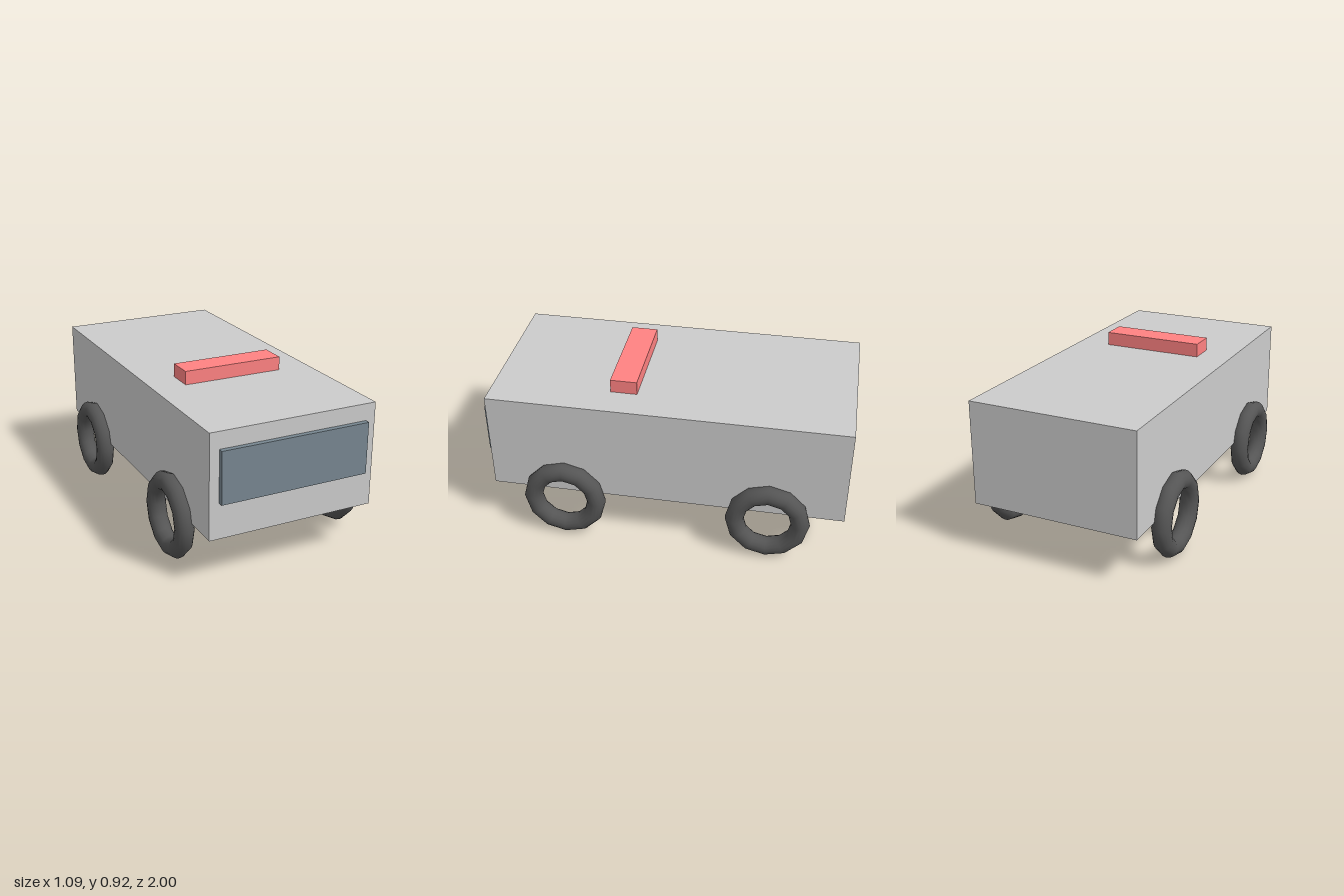
import * as THREE from 'three';

export function createModel() {
  const group = new THREE.Group();
  const paint = (color) => new THREE.MeshStandardMaterial({ color });

  // Box given by its extents along each axis
  function box(name, color, [x0, x1], [y0, y1], [z0, z1]) {
    const mesh = new THREE.Mesh(new THREE.BoxGeometry(x1 - x0, y1 - y0, z1 - z0), paint(color));
    mesh.position.set((x0 + x1) / 2, (y0 + y1) / 2, (z0 + z1) / 2);
    mesh.name = name;
    group.add(mesh);
  }

  // Van body, windscreen panel and roof light bar
  box('body', 0xcccccc, [-0.468, 0.468], [0.272, 0.842], [-1, 0.972]);
  box('windscreen', 0x778690, [-0.415, 0.415], [0.467, 0.75], [0.944, 1]);
  box('lightBar', 0xff8282, [-0.285, 0.285], [0.842, 0.917], [0.172, 0.319]);

  // Four ring wheels, twelve-sided around the rim with a round tyre section
  const tyre = new THREE.TorusGeometry(0.182, 0.052, 16, 12).rotateY(Math.PI / 2);
  const rubber = paint(0x555555);
  for (const [end, z] of [['front', 0.558], ['rear', -0.585]]) {
    for (const [side, x] of [['Left', 0.493], ['Right', -0.493]]) {
      const wheel = new THREE.Mesh(tyre, rubber);
      wheel.position.set(x, 0.234, z);
      wheel.name = `${end}${side}Wheel`;
      group.add(wheel);
    }
  }

  return group;
}
